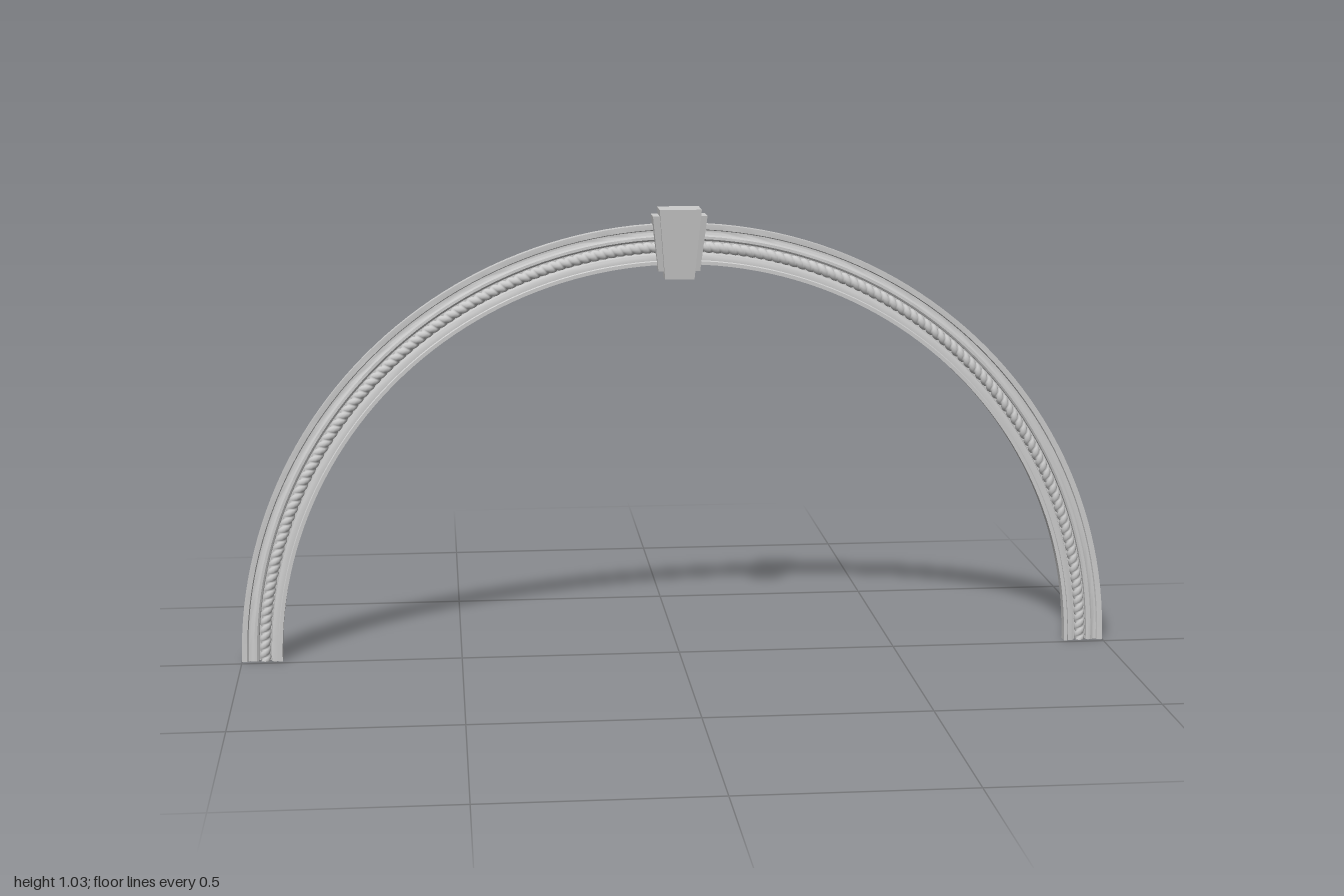
import * as THREE from 'three';
import { toCreasedNormals } from 'three/addons/utils/BufferGeometryUtils.js';

const BACK = -0.037;
const RISE = 0.992; // the arch is very slightly flattened
const ROPE = { r: 0.947, z: -0.023, size: 0.011, strands: 150 };

// Moulding cross-section as [radius, z], counter-clockwise
const PROFILE = [
  [0.908, BACK], [1, BACK], [1, -0.015], [0.988, -0.015], [0.986, -0.019],
  [0.981, -0.02], [0.976, -0.018], [0.972, -0.015], [0.966, -0.015],
  [0.962, -0.018], [0.961, -0.026], [0.934, -0.026], [0.932, -0.016],
  [0.928, -0.014], [0.918, -0.014], [0.916, -0.0115], [0.908, -0.0115], [0.908, BACK],
];

const material = new THREE.MeshStandardMaterial({ color: 0xcccccc });

function add(parent, geometry, name) {
  const mesh = new THREE.Mesh(geometry, material);
  mesh.name = name;
  parent.add(mesh);
}

// Half ring swept from the moulding profile
function mouldingGeometry() {
  const points = PROFILE.map(([r, z]) => new THREE.Vector2(r, z));
  const g = new THREE.LatheGeometry(points, 96, Math.PI / 2, Math.PI);
  g.rotateX(Math.PI / 2);
  return toCreasedNormals(g, 0.6);
}

// Twisted rope: a half ring whose section radius ripples on a slant
function ropeGeometry() {
  const steps = ROPE.strands * 8, sides = 12;
  const positions = [], index = [];
  for (let i = 0; i <= steps; i++) {
    const a = (i / steps) * Math.PI;
    for (let j = 0; j <= sides; j++) {
      const p = (j / sides) * Math.PI * 2;
      const ripple = Math.abs(Math.sin(a * ROPE.strands + p));
      const s = ROPE.size * (0.65 + 0.35 * Math.sqrt(ripple));
      const r = ROPE.r + s * 1.15 * Math.cos(p);
      positions.push(r * Math.cos(a), r * Math.sin(a), ROPE.z + s * Math.sin(p));
      if (i < steps && j < sides) {
        const k = i * (sides + 1) + j, n = k + sides + 1;
        index.push(k, n, k + 1, k + 1, n, n + 1);
      }
    }
  }
  const g = new THREE.BufferGeometry();
  g.setAttribute('position', new THREE.Float32BufferAttribute(positions, 3));
  g.setIndex(index);
  g.computeVertexNormals();
  return g;
}

// Wedge block with a flat back, tapering in width and depth towards the bottom
function wedgeGeometry(y0, y1, half0, half1, front0, front1) {
  const g = new THREE.BoxGeometry(2, 1, 1);
  const pos = g.attributes.position;
  for (let i = 0; i < pos.count; i++) {
    const t = pos.getY(i) + 0.5;
    const half = THREE.MathUtils.lerp(half0, half1, t);
    const front = THREE.MathUtils.lerp(front0, front1, t);
    pos.setXYZ(i, pos.getX(i) * half, THREE.MathUtils.lerp(y0, y1, t), pos.getZ(i) > 0 ? front : BACK);
  }
  g.computeVertexNormals();
  return g;
}

export function createModel() {
  const model = new THREE.Group();
  model.name = 'archWithKeystone';

  const arch = new THREE.Group();
  arch.name = 'arch';
  arch.scale.y = RISE;
  model.add(arch);
  add(arch, mouldingGeometry(), 'archMoulding');
  add(arch, ropeGeometry(), 'ropeMoulding');

  // Flat feet closing both ends of the moulding and rope
  for (const side of [1, -1]) {
    const name = side > 0 ? 'left' : 'right';
    const shape = new THREE.Shape(PROFILE.slice(0, -1).map(([r, z]) => new THREE.Vector2(side * r, z)));
    add(arch, new THREE.ShapeGeometry(shape).rotateX(Math.PI / 2), name + 'Foot');
    const end = new THREE.CircleGeometry(ROPE.size * 0.9, 12).rotateX(Math.PI / 2);
    add(arch, end.translate(side * ROPE.r, 0, ROPE.z), name + 'RopeEnd');
  }

  // Keystone: tall central wedge over a wider, shallower one
  const keystone = new THREE.Group();
  keystone.name = 'keystone';
  model.add(keystone);
  add(keystone, wedgeGeometry(0.87, 1.029, 0.033, 0.047, 0.014, 0.037), 'keystoneFace');
  add(keystone, wedgeGeometry(0.887, 1.013, 0.047, 0.061, 0.002, 0.024), 'keystoneSides');

  return model;
}
